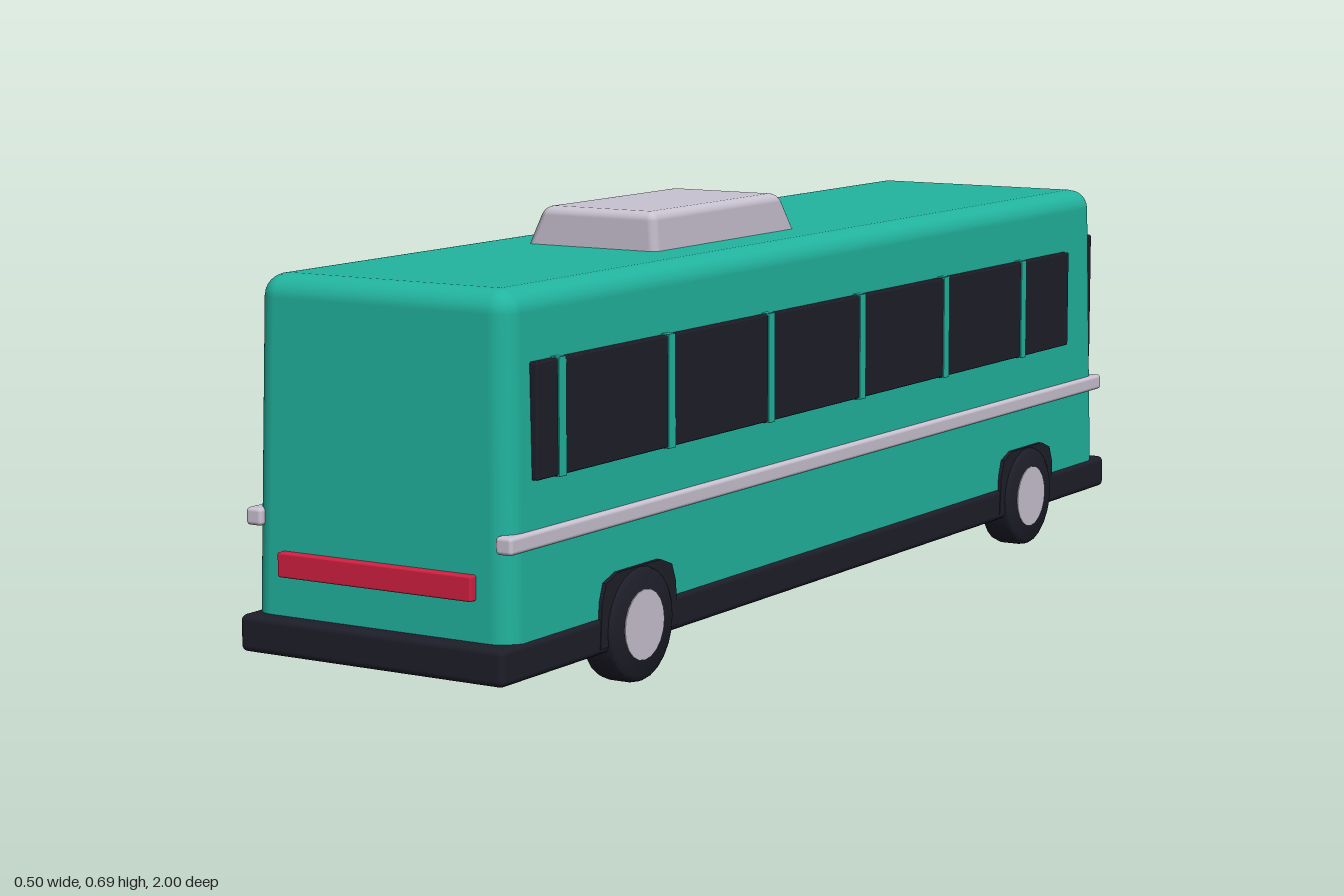
import * as THREE from 'three';
import { toCreasedNormals } from 'three/addons/utils/BufferGeometryUtils.js';
import { RoundedBoxGeometry } from 'three/addons/geometries/RoundedBoxGeometry.js';

const paint = (name, color) => {
  const m = new THREE.MeshStandardMaterial({ color });
  m.name = name;
  return m;
};

export function createModel() {
  const bus = new THREE.Group();
  bus.name = 'bus';
  const teal = paint('teal paint', 0x22b5a0);
  const dark = paint('dark trim', 0x1e1e2a);
  const silver = paint('silver', 0xc9c3d1);
  const red = paint('red light', 0xd42042);
  const amber = paint('amber sign', 0xdc8c20);
  const cream = paint('headlight cream', 0xe6daa8);

  const add = (name, geometry, material, x = 0, y = 0, z = 0) => {
    const mesh = new THREE.Mesh(geometry, material);
    mesh.name = name;
    mesh.position.set(x, y, z);
    bus.add(mesh);
    return mesh;
  };

  // Rounded box given by its limits
  const block = (name, material, [x0, x1], [y0, y1], [z0, z1], r) =>
    add(name, new RoundedBoxGeometry(x1 - x0, y1 - y0, z1 - z0, 3, r), material,
      (x0 + x1) / 2, (y0 + y1) / 2, (z0 + z1) / 2);

  // Draw the top of a box inwards by dx and dz on each side
  const taper = (mesh, height, dx, dz) => {
    const p = mesh.geometry.attributes.position;
    for (let i = 0; i < p.count; i++) {
      const t = p.getY(i) / height + 0.5;
      p.setX(i, p.getX(i) - Math.sign(p.getX(i)) * dx * t);
      p.setZ(i, p.getZ(i) - Math.sign(p.getZ(i)) * dz * t);
    }
  };

  // Body shell, skirt with bumpers, roof unit
  taper(block('body', teal, [-0.237, 0.237], [0.07, 0.63], [-0.976, 0.976], 0.035), 0.56, 0.009, 0.014);
  block('skirt', dark, [-0.241, 0.241], [0.06, 0.117], [-1, 1], 0.01);
  taper(block('roofUnit', silver, [-0.127, 0.127], [0.615, 0.69], [-0.035, 0.409], 0.014), 0.075, 0.021, 0.025);

  // Wheel arch outline, extruded across the side
  const archShape = new THREE.Shape([
    [-0.108, 0.07], [0.108, 0.07], [0.103, 0.14], [0.092, 0.168],
    [0.06, 0.18], [-0.06, 0.18], [-0.092, 0.168], [-0.103, 0.14],
  ].map(([a, b]) => new THREE.Vector2(a, b)));
  const archGeo = new THREE.ExtrudeGeometry(archShape, { depth: 0.05, bevelEnabled: false });
  archGeo.translate(0, 0, -0.025).rotateY(Math.PI / 2);

  // Tyre section turned around the axle
  const tyreGeo = toCreasedNormals(new THREE.LatheGeometry([
    [0, -0.03], [0.08, -0.03], [0.087, -0.026], [0.09, -0.018],
    [0.09, 0.018], [0.087, 0.026], [0.08, 0.03], [0, 0.03],
  ].map(([r, h]) => new THREE.Vector2(r, h)), 24), 0.7);
  tyreGeo.rotateZ(Math.PI / 2);
  const hubGeo = new THREE.CylinderGeometry(0.055, 0.055, 0.063, 20).rotateZ(Math.PI / 2);

  for (const s of [-1, 1]) {
    const side = s < 0 ? 'right' : 'left';
    const out = (a, b) => (s > 0 ? [a, b] : [-b, -a]);

    // Window band, pillars and side strip
    block(side + 'WindowBand', dark, out(0.222, 0.242), [0.35, 0.523], [-0.833, 0.909], 0.003);
    for (let i = 0; i < 6; i++) {
      const z = 0.845 - i * 0.298;
      block(side + 'WindowPillar', teal, out(0.222, 0.244), [0.348, 0.525], [z - 0.01, z + 0.01], 0.001);
    }
    block(side + 'SideStrip', silver, out(0.214, 0.243), [0.25, 0.277], [-0.978, 0.978], 0.006);

    // Wheels and arches
    for (const z of [0.638, -0.67]) {
      add(side + 'WheelArch', archGeo, dark, s * 0.217, 0, z);
      add(side + 'Tyre', tyreGeo, dark, s * 0.22, 0.09, z);
      add(side + 'Hub', hubGeo, silver, s * 0.22, 0.09, z);
    }

    // Headlight
    const hx = s * 0.157;
    block(side + 'Headlight', cream, [hx - 0.036, hx + 0.036], [0.138, 0.172], [-0.984, -0.966], 0.003);
  }

  // End panels: windscreen and sign at -z, light bar at +z
  block('windscreen', dark, [-0.217, 0.217], [0.308, 0.542], [-0.981, -0.955], 0.004);
  block('destinationSign', amber, [-0.157, 0.157], [0.542, 0.606], [-0.981, -0.955], 0.003);
  block('tailLightBar', red, [-0.177, 0.177], [0.178, 0.216], [0.965, 0.987], 0.003);

  return bus;
}
